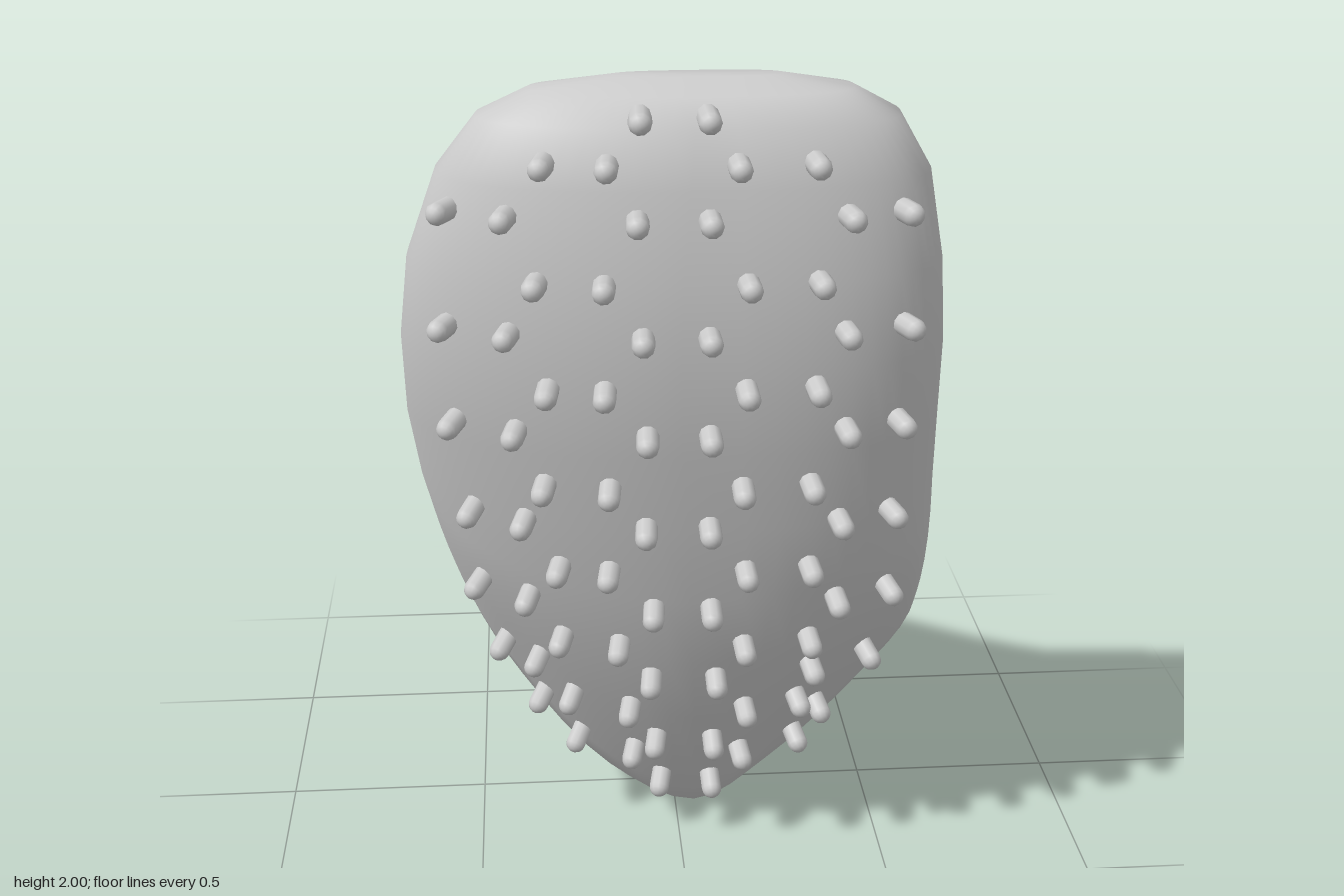
import * as THREE from 'three';

const COLS = 64;
const WALL = 0.08;
const V = (x, y, z) => new THREE.Vector3(x, y, z);

// Horizontal sections from the top down: y, front z, back z, min x, max x
const LEVELS = [
  [2.0, 0.5, 0.43, -0.16, 0.2],
  [1.975, 0.58, 0.37, -0.34, 0.35],
  [1.92, 0.635, 0.31, -0.45, 0.45],
  [1.8, 0.67, 0.24, -0.54, 0.52],
  [1.6, 0.69, 0.13, -0.61, 0.56],
  [1.4, 0.685, 0.02, -0.635, 0.58],
  [1.2, 0.65, -0.11, -0.635, 0.59],
  [1.0, 0.6, -0.27, -0.615, 0.605],
];

// Lower rim of the opening, from the front tip round by +x to the back flap
const RIM = new THREE.CatmullRomCurve3([
  [0.05, 0.0, 0.11], [0.24, 0.12, 0.11], [0.465, 0.39, 0.165], [0.59, 0.56, 0.16],
  [0.63, 0.64, 0.0], [0.54, 0.62, -0.22], [0.43, 0.57, -0.45], [0.31, 0.5, -0.65],
  [0.11, 0.44, -0.76], [-0.14, 0.49, -0.64], [-0.34, 0.56, -0.42], [-0.47, 0.62, -0.21],
  [-0.545, 0.665, 0.0], [-0.51, 0.58, 0.05], [-0.39, 0.37, 0.07], [-0.17, 0.1, 0.08],
].map((p) => V(...p)), true);

// Peg rows: y, then the x positions
const PEG_ROWS = [
  [1.94, -0.11, 0.03],
  [1.85, -0.31, -0.18, 0.09, 0.25],
  [1.74, -0.51, -0.39, -0.12, 0.03, 0.32, 0.44],
  [1.605, -0.33, -0.19, 0.11, 0.26],
  [1.49, -0.52, -0.39, -0.11, 0.03, 0.32, 0.45],
  [1.37, -0.31, -0.19, 0.11, 0.26],
  [1.26, -0.51, -0.38, -0.1, 0.035, 0.33, 0.45],
  [1.125, -0.32, -0.18, 0.11, 0.26],
  [1.02, -0.48, -0.365, -0.1, 0.04, 0.33, 0.45],
  [0.895, -0.29, -0.18, 0.125, 0.27],
  [0.79, -0.47, -0.36, -0.08, 0.05, 0.34, 0.465],
  [0.67, -0.285, -0.155, 0.13, 0.285],
  [0.565, -0.42, -0.34, -0.08, 0.07, 0.3, 0.44],
  [0.445, -0.26, -0.125, 0.145, 0.275],
  [0.385, -0.33, 0.335],
  [0.325, -0.06, 0.075],
  [0.26, -0.24, -0.11, 0.145, 0.29],
  [0.145, -0.04, 0.08],
];

const angle = (j) => (j / COLS) * Math.PI * 2;
const soft = (v, n) => Math.sign(v) * Math.abs(v) ** (2 / n);
const ring = (fn) => Array.from({ length: COLS }, (_, j) => fn(j));

// Rounded-rectangle section, rounder at the front -x and back +x corners
function section([y, zf, zb, xl, xr]) {
  return ring((j) => {
    const s = Math.sin(angle(j)), c = Math.cos(angle(j));
    const n = s * c < 0 ? (c > 0 ? 2.05 : 2.4) : 3;
    return V(
      (xl + xr) / 2 + soft(s, n) * (xr - xl) / 2,
      y,
      (zf + zb) / 2 + soft(c, n) * (zf - zb) / 2,
    );
  });
}

// Moves a ring inwards by the wall thickness
const inset = (pts, d, lift = 0) => pts.map((p, j) =>
  V(p.x - d * Math.sin(angle(j)), p.y + lift, p.z - d * Math.cos(angle(j))));

function shellGeometry() {
  const outer = LEVELS.map(section);
  const last = outer[outer.length - 1];
  const rim = ring((j) => RIM.getPoint(j / COLS));

  // Skirt: from the lowest level section down to the slanting rim,
  // swelling at the front and at the back -x corner
  for (const t of [0.2, 0.4, 0.6, 0.8, 0.93, 1]) {
    outer.push(ring((j) => {
      const s = Math.sin(angle(j)), c = Math.cos(angle(j));
      const swell = t * (1 - t);
      const p = last[j].clone().lerp(rim[j], t);
      p.z += 0.3 * swell * Math.sqrt(Math.max(0, c));
      p.x -= 0.4 * swell * Math.max(0, -s) * Math.max(0, -c);
      p.y += 0.08 * t * Math.max(0, -c);
      return p;
    }));
  }

  // Rim lip, then the hollow inside up to its ceiling
  const rings = [ring(() => V(0.02, 2.0, 0.47)), ...outer];
  rings.push(inset(rim, 0.025), inset(rim, 0.06, 0.015));
  for (let k = outer.length - 2; k >= 4; k--) rings.push(inset(outer[k], WALL));
  rings.push(section([1.72, 0.55, 0.28, -0.35, 0.33]), ring(() => V(0, 1.75, 0.42)));

  const position = rings.flat().flatMap((p) => [p.x, p.y, p.z]);
  const index = [];
  for (let k = 0; k < rings.length - 1; k++) {
    for (let j = 0; j < COLS; j++) {
      const a = k * COLS + j, d = k * COLS + (j + 1) % COLS;
      const b = a + COLS, c = d + COLS;
      index.push(a, b, c, a, c, d);
    }
  }
  const geo = new THREE.BufferGeometry();
  geo.setAttribute('position', new THREE.Float32BufferAttribute(position, 3));
  geo.setIndex(index);
  geo.computeVertexNormals();
  return geo;
}

export function createModel() {
  const group = new THREE.Group();
  group.name = 'studdedShell';
  const material = new THREE.MeshStandardMaterial({ color: 0xcccccc });

  const shell = new THREE.Mesh(shellGeometry(), material);
  shell.name = 'shell';
  group.add(shell);

  // Rounded pegs planted on the front face, level or pointing downwards
  const pegs = new THREE.Group();
  pegs.name = 'pegs';
  const pegGeo = new THREE.CapsuleGeometry(0.025, 0.07, 4, 10);
  const caster = new THREE.Raycaster();
  for (const [y, ...xs] of PEG_ROWS) {
    for (const x of xs) {
      caster.set(V(x, y, 2), V(0, 0, -1));
      const hit = caster.intersectObject(shell)[0];
      if (!hit) continue;
      const dir = hit.face.normal.clone().add(V(0, 0, 0.5));
      dir.y = Math.min(0, dir.y * 1.5);
      dir.normalize();
      const peg = new THREE.Mesh(pegGeo, material);
      peg.name = 'peg';
      peg.position.copy(hit.point).addScaledVector(dir, 0.012);
      peg.quaternion.setFromUnitVectors(V(0, 1, 0), dir);
      pegs.add(peg);
    }
  }
  group.add(pegs);
  return group;
}
